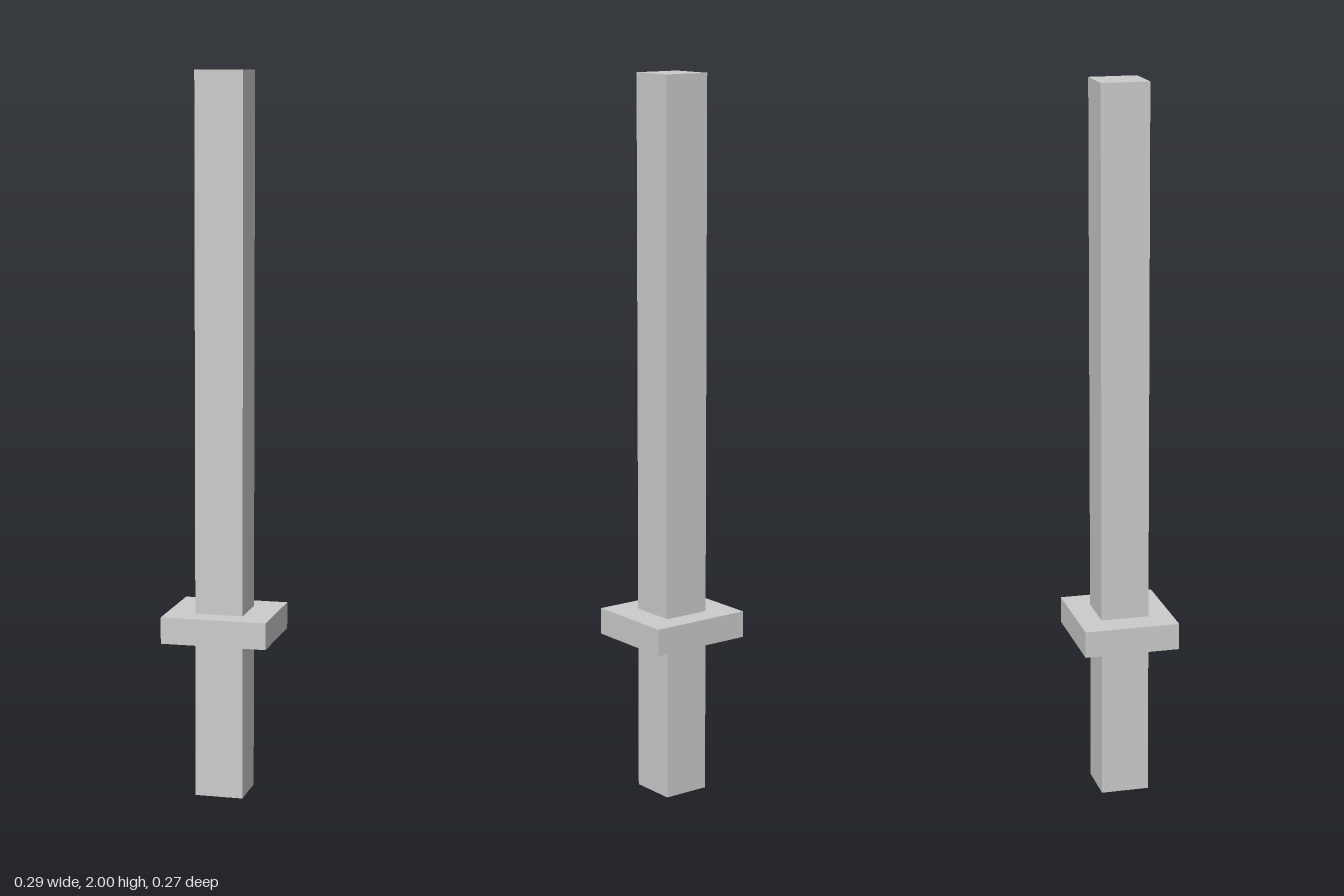
import * as THREE from 'three';

export function createModel() {
  const model = new THREE.Group();
  model.name = 'sword';
  const material = new THREE.MeshStandardMaterial({ color: 0xcccccc, flatShading: true });

  // A box standing between two heights on the central axis
  function addBar(name, width, depth, bottom, top) {
    const mesh = new THREE.Mesh(new THREE.BoxGeometry(width, top - bottom, depth), material);
    mesh.name = name;
    mesh.position.y = (bottom + top) / 2;
    model.add(mesh);
  }

  const thickness = 0.134;
  const guardBottom = 0.444;
  const guardTop = 0.518;

  addBar('grip', thickness, thickness, 0, guardBottom);
  addBar('guard', 0.295, 0.266, guardBottom, guardTop);
  addBar('blade', thickness, thickness, guardTop, 2);

  return model;
}
